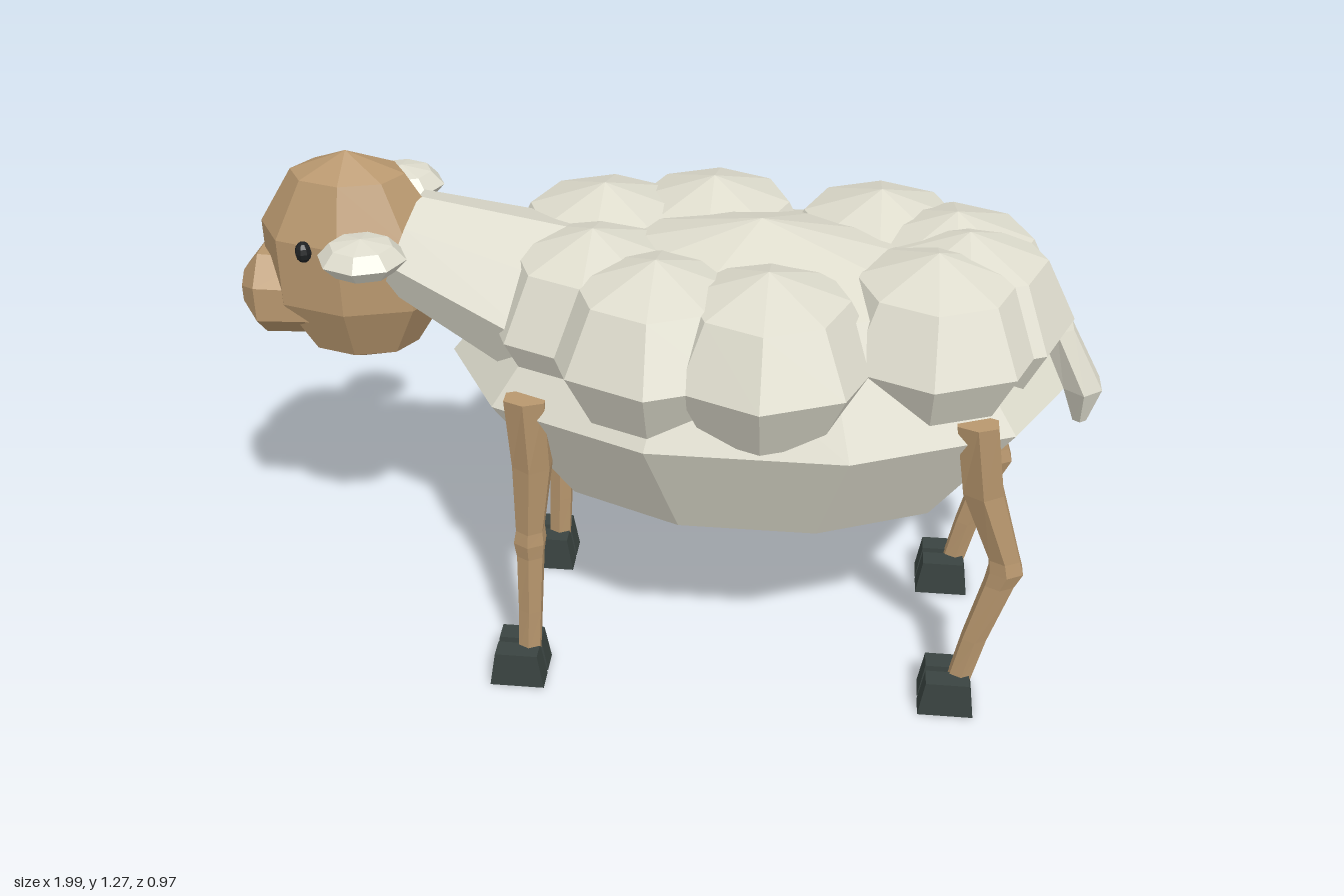
import * as THREE from 'three';

const mat = (name, color) => {
  const m = new THREE.MeshStandardMaterial({ color });
  m.name = name;
  return m;
};

export function createModel() {
  const wool = mat('wool', 0xdedccd);
  const skin = mat('tan skin', 0xb8976e);
  const horn = mat('dark hoof', 0x3a4441);
  const black = mat('eye black', 0x1e2022);
  const model = new THREE.Group();
  model.name = 'sheep';

  // Faceted mesh added to a parent
  function add(name, geometry, material, parent = model) {
    const flat = geometry.index ? geometry.toNonIndexed() : geometry;
    flat.computeVertexNormals();
    const mesh = new THREE.Mesh(flat, material);
    mesh.name = name;
    parent.add(mesh);
    return mesh;
  }

  // Low-poly ellipsoid
  function ball(name, material, [x, y, z], [rx, ry, rz], sides, rows, parent) {
    const g = new THREE.SphereGeometry(1, sides, rows).scale(rx, ry, rz).translate(x, y, z);
    return add(name, g, material, parent);
  }

  // Cylinder bent through sections [x, y, z, half x, half z], top to bottom
  function loft(sections, sides) {
    const n = sections.length - 1;
    const g = new THREE.CylinderGeometry(1, 1, 1, sides, n);
    const p = g.attributes.position;
    for (let i = 0; i < p.count; i++) {
      const [x, y, z, hx, hz] = sections[Math.round((0.5 - p.getY(i)) * n)];
      p.setXYZ(i, x + p.getX(i) * hx, y, z + p.getZ(i) * hz);
    }
    return g;
  }

  // Body and the ring of wool tufts around the back
  ball('body', wool, [0.2, 0.77, 0], [0.72, 0.38, 0.42], 10, 4);
  const fleece = new THREE.Group();
  fleece.name = 'fleece';
  model.add(fleece);
  const tufts = [
    [0.66, 0], [0.59, 0.11], [0.23, 0.235], [-0.015, 0.205], [-0.17, 0.07],
    [-0.175, -0.17], [0.075, -0.235], [0.465, -0.2], [0.635, -0.1],
  ];
  for (const [x, z] of tufts) {
    ball('woolTuft', wool, [x, 0.935, z], [0.25, 0.205, 0.25], 8, 4, fleece);
  }

  // Neck, widening towards the body
  const neck = add('neck', new THREE.CylinderGeometry(0.115, 0.195, 0.4, 8).scale(1, 1, 1.25), wool);
  neck.position.set(-0.43, 0.985, 0);
  neck.rotation.z = 1.2;

  // Head and muzzle
  ball('head', skin, [-0.735, 1.005, 0], [0.225, 0.265, 0.15], 8, 5);
  const muzzleProfile = [[0, -0.1], [0.105, -0.1], [0.11, 0.03], [0.05, 0.075], [0, 0.075]]
    .map(([r, y]) => new THREE.Vector2(r, y));
  const muzzle = add('muzzle', new THREE.LatheGeometry(muzzleProfile, 8, Math.PI / 8), skin);
  muzzle.position.set(-0.925, 0.918, 0);
  muzzle.rotation.z = Math.PI / 2;

  // Tail
  const tail = add('tail', loft([
    [0.865, 0.92, 0, 0.045, 0.048], [0.94, 0.77, 0, 0.05, 0.064], [0.945, 0.675, 0, 0.018, 0.022],
  ], 6), wool);
  tail.position.x = 0.005;

  // Sections of the left legs
  const frontLeg = [
    [-0.3, 0.815, 0.273, 0.053, 0.036],
    [-0.297, 0.62, 0.235, 0.05, 0.054],
    [-0.31, 0.435, 0.236, 0.036, 0.036],
    [-0.312, 0.4, 0.236, 0.041, 0.039],
    [-0.312, 0.36, 0.236, 0.035, 0.033],
    [-0.318, 0.2, 0.238, 0.031, 0.03],
    [-0.325, 0.07, 0.24, 0.03, 0.026],
  ];
  const hindLeg = [
    [0.695, 0.815, 0.273, 0.052, 0.036],
    [0.725, 0.62, 0.235, 0.052, 0.054],
    [0.79, 0.435, 0.236, 0.04, 0.036],
    [0.797, 0.4, 0.236, 0.044, 0.039],
    [0.785, 0.36, 0.236, 0.038, 0.033],
    [0.742, 0.2, 0.238, 0.032, 0.03],
    [0.715, 0.07, 0.24, 0.03, 0.026],
  ];

  // Paired parts on both sides
  for (const s of [1, -1]) {
    const side = s > 0 ? 'left' : 'right';
    ball(side + 'Ear', wool, [-0.662, 1.105, s * 0.195], [0.1, 0.045, 0.088], 8, 4);
    ball(side + 'Eye', black, [-0.815, 1.077, s * 0.13], [0.019, 0.025, 0.02], 8, 6);

    for (const [name, sections, hoofX] of [['FrontLeg', frontLeg, -0.35], ['HindLeg', hindLeg, 0.688]]) {
      const leg = new THREE.Group();
      leg.name = side + name;
      model.add(leg);
      add('shank', loft(sections.map(([x, y, z, hx, hz]) => [x, y, z * s, hx, hz]), 6), skin, leg);
      // Cloven hoof: two tapered toes
      for (const toeZ of [0.272, 0.205]) {
        const toe = new THREE.BoxGeometry(0.132, 0.092, 0.058);
        const p = toe.attributes.position;
        for (let i = 0; i < p.count; i++) {
          if (p.getY(i) > 0) p.setXYZ(i, p.getX(i) * 0.78, p.getY(i), p.getZ(i) * 0.85);
        }
        add('toe', toe.translate(hoofX, 0.046, s * toeZ), horn, leg);
      }
    }
  }
  return model;
}
